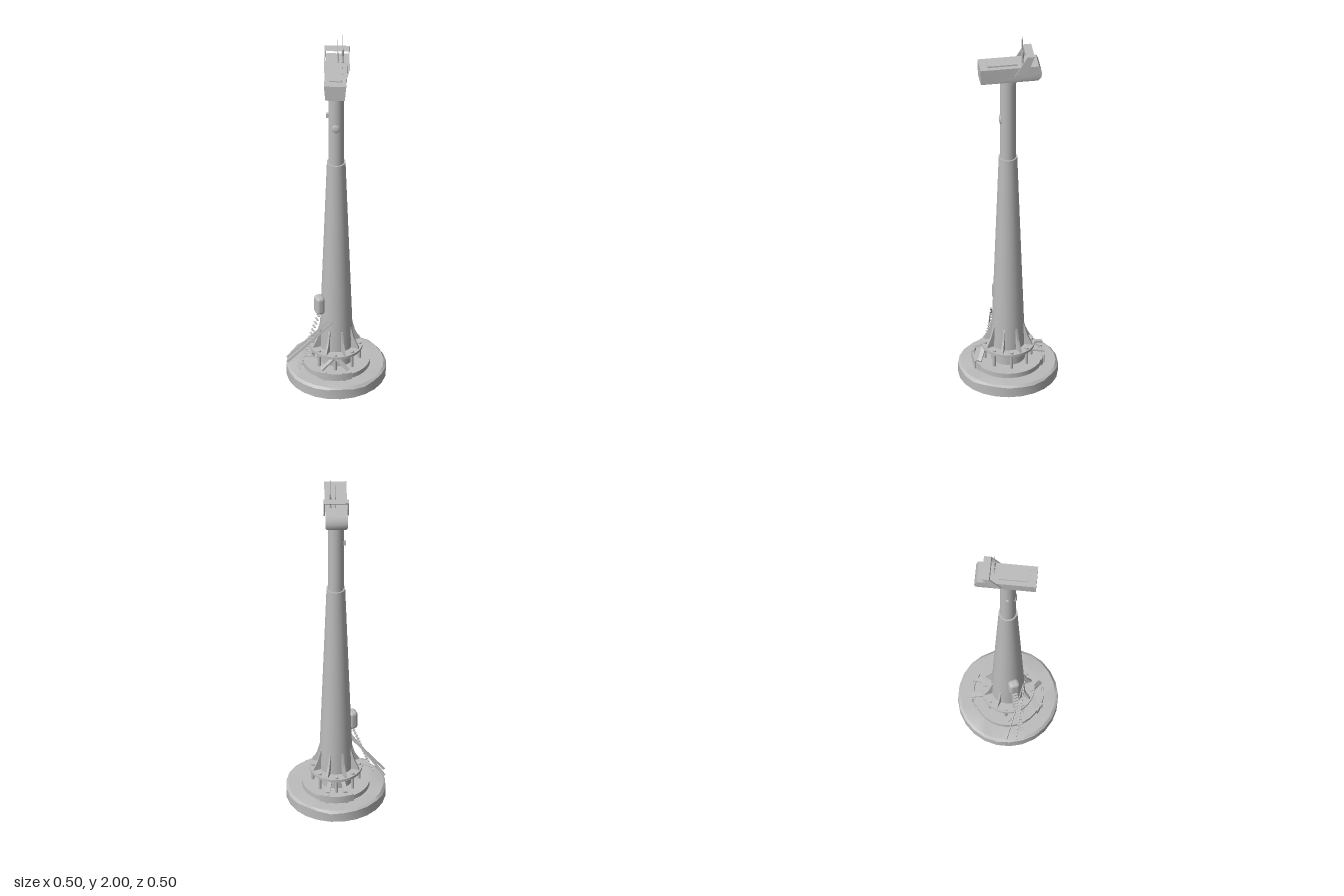
import * as THREE from 'three';
import { toCreasedNormals } from 'three/addons/utils/BufferGeometryUtils.js';
import { RoundedBoxGeometry } from 'three/addons/geometries/RoundedBoxGeometry.js';

const grey = new THREE.MeshStandardMaterial({ color: 0xbcbcbc, side: THREE.DoubleSide });
grey.name = 'grey paint';

const rad = THREE.MathUtils.degToRad;

function add(parent, name, geometry, x = 0, y = 0, z = 0) {
  const mesh = new THREE.Mesh(geometry, grey);
  mesh.name = name;
  mesh.position.set(x, y, z);
  parent.add(mesh);
  return mesh;
}

// A group whose +z axis points outward at the given angle around the tower
function radial(parent, name, angle) {
  const g = new THREE.Group();
  g.name = name;
  g.rotation.y = angle;
  parent.add(g);
  return g;
}

function lathe(points, sides = 24, start = 0, sweep = Math.PI * 2) {
  const g = new THREE.LatheGeometry(points.map(p => new THREE.Vector2(...p)), sides, start, sweep);
  return toCreasedNormals(g, rad(32));
}

// Side profile given as [z, y], extruded across x and centred
function sideProfile(points, width) {
  const shape = new THREE.Shape(points.map(p => new THREE.Vector2(...p)));
  const g = new THREE.ExtrudeGeometry(shape, { depth: width, bevelEnabled: false });
  return g.translate(0, 0, -width / 2).rotateY(-Math.PI / 2);
}

// Box beam from a to b, w wide and d deep
function beam(parent, name, a, b, w, d = w) {
  const from = new THREE.Vector3(...a), to = new THREE.Vector3(...b);
  const mid = from.clone().add(to).multiplyScalar(0.5);
  const m = add(parent, name, new THREE.BoxGeometry(w, d, from.distanceTo(to)), mid.x, mid.y, mid.z);
  m.lookAt(to);
  return m;
}

function addFoundation(root) {
  // Hollow skirt with an uneven upper rim
  let skirt = new THREE.LatheGeometry(
    [[0.25, 0], [0.25, 0.052], [0.238, 0.062], [0.16, 0.063]].map(p => new THREE.Vector2(...p)), 24, rad(7.5));
  const pos = skirt.attributes.position;
  for (let i = 0; i < pos.count; i++) {
    const y = pos.getY(i);
    if (y > 0.05 && y < 0.06) {
      const a = Math.atan2(pos.getX(i), pos.getZ(i));
      pos.setY(i, y + 0.004 * Math.cos(5 * a) + 0.003 * Math.sin(8 * a));
    }
  }
  add(root, 'foundationSkirt', toCreasedNormals(skirt, rad(32)));
  add(root, 'foundationFlange', lathe([[0.088, 0.045], [0.17, 0.045], [0.17, 0.088], [0.08, 0.088]], 32));

  // Curved guard plates and braces at front and back
  for (const side of [0, Math.PI]) {
    const half = radial(root, side ? 'backGuard' : 'frontGuard', side);
    add(half, 'guardPlate', lathe(
      [[0.171, 0.058], [0.178, 0.058], [0.178, 0.102], [0.171, 0.102], [0.171, 0.058]], 10, rad(-29), rad(58)));
    for (const s of [-1, 1]) {
      const arm = radial(half, 'guardBrace', s * rad(15.5));
      beam(arm, 'diagonalStrut', [0, 0.105, 0.17], [0, 0.168, 0.118], 0.02, 0.009);
      add(arm, 'braceFoot', new THREE.BoxGeometry(0.014, 0.05, 0.014), 0, 0.083, 0.176);
    }
  }
}

function addTower(root) {
  add(root, 'lowerTower', lathe([[0.086, 0.01], [0.086, 0.16], [0.081, 0.3], [0.047, 1.27], [0.047, 1.276], [0.04, 1.276]], 24));
  add(root, 'upperTower', new THREE.CylinderGeometry(0.04, 0.04, 0.47, 24, 1, true), 0, 1.505, 0);
  add(root, 'yawCollar', new THREE.CylinderGeometry(0.05, 0.05, 0.014, 24), 0, 1.738, 0);

  // Bolted ring platform
  add(root, 'platformRing', lathe([[0.082, 0.16], [0.133, 0.16], [0.133, 0.174], [0.082, 0.174]], 32));
  for (let i = 0; i < 8; i++) {
    const bay = radial(root, 'platformBay', i * Math.PI / 4);
    add(bay, 'anchorBolt', new THREE.CylinderGeometry(0.008, 0.008, 0.08, 10), 0, 0.126, 0.116);
    add(bay, 'boltCap', new THREE.CylinderGeometry(0.01, 0.01, 0.008, 12), 0, 0.178, 0.116);
    const rib = radial(root, 'ribBay', (i + 0.5) * Math.PI / 4);
    add(rib, 'stiffenerFin', sideProfile(
      [[0.07, 0.174], [0.125, 0.174], [0.122, 0.185], [0.1, 0.23], [0.084, 0.29], [0.07, 0.29]], 0.01));
  }

  // Round lamp and small sensor box
  const lamp = add(root, 'towerLamp', new THREE.SphereGeometry(0.021, 16, 10), 0, 1.5, 0.038);
  lamp.scale.set(1, 1.2, 0.4);
  add(root, 'sensorBox', new THREE.BoxGeometry(0.016, 0.024, 0.014), -0.043, 1.557, 0);
}

function addEntrance(root) {
  const e = radial(root, 'entrance', Math.atan2(-0.115, 0.053));
  add(e, 'doorHousing', new RoundedBoxGeometry(0.056, 0.102, 0.046, 3, 0.018), 0, 0.43, 0.091);
  // Steep stair with close treads
  const foot = [0.06, 0.208], top = [0.385, 0.09];
  for (const s of [-1, 1]) {
    beam(e, 'stairRail', [s * 0.014, ...foot], [s * 0.014, ...top], 0.004, 0.012);
    beam(e, 'stairStay', [s * 0.014, 0.145, 0.177], [s * 0.038, 0.145, 0.115], 0.005);
  }
  const steps = 16;
  for (let i = 1; i < steps; i++) {
    const t = i / steps;
    add(e, 'stairTread', new THREE.BoxGeometry(0.028, 0.003, 0.01), 0,
      foot[0] + t * (top[0] - foot[0]), foot[1] + t * (top[1] - foot[1]));
  }
}

function addNacelle(root) {
  const n = new THREE.Group();
  n.name = 'nacelle';
  root.add(n);
  // Housing tapers inward towards its floor
  const body = sideProfile([[0.145, 1.745], [0.147, 1.832], [-0.15, 1.832], [-0.16, 1.815],
    [-0.165, 1.79], [-0.16, 1.765], [-0.145, 1.745]], 0.112);
  const pos = body.attributes.position;
  for (let i = 0; i < pos.count; i++) {
    if (pos.getY(i) < 1.75) pos.setX(i, pos.getX(i) * 0.88);
  }
  add(n, 'nacelleHousing', toCreasedNormals(body, rad(35)));
  add(n, 'roofHatch', new THREE.BoxGeometry(0.064, 0.009, 0.15), 0, 1.8355, 0.03);
  add(n, 'hatchLip', new THREE.BoxGeometry(0.064, 0.006, 0.004), 0, 1.837, 0.107);

  // Swept-back hoop
  for (const s of [-1, 1]) {
    add(n, 'hoopSide', sideProfile([[-0.028, 1.79], [-0.09, 1.895], [-0.127, 1.895], [-0.086, 1.79]], 0.006), s * 0.06, 0, 0);
  }
  add(n, 'hoopTop', sideProfile([[-0.086, 1.888], [-0.09, 1.895], [-0.127, 1.895], [-0.123, 1.888]], 0.126));

  // Masts: [x, base radius, base top, tip]
  for (const [x, r, mid, tip] of [[0.005, 0.004, 1.89, 1.97], [0.03, 0.006, 1.915, 2.0]]) {
    add(n, 'mast', lathe([[r * 1.2, 1.83], [r * 1.2, 1.842], [r * 0.6, 1.842], [r * 0.6, 1.87], [r, 1.875],
      [r * 0.8, mid], [0.0018, mid + 0.004], [0.0015, tip], [0, tip]], 10), x, 0, -0.07);
  }
}

export function createModel() {
  const root = new THREE.Group();
  root.name = 'turbineTower';
  addFoundation(root);
  addTower(root);
  addEntrance(root);
  addNacelle(root);
  return root;
}
